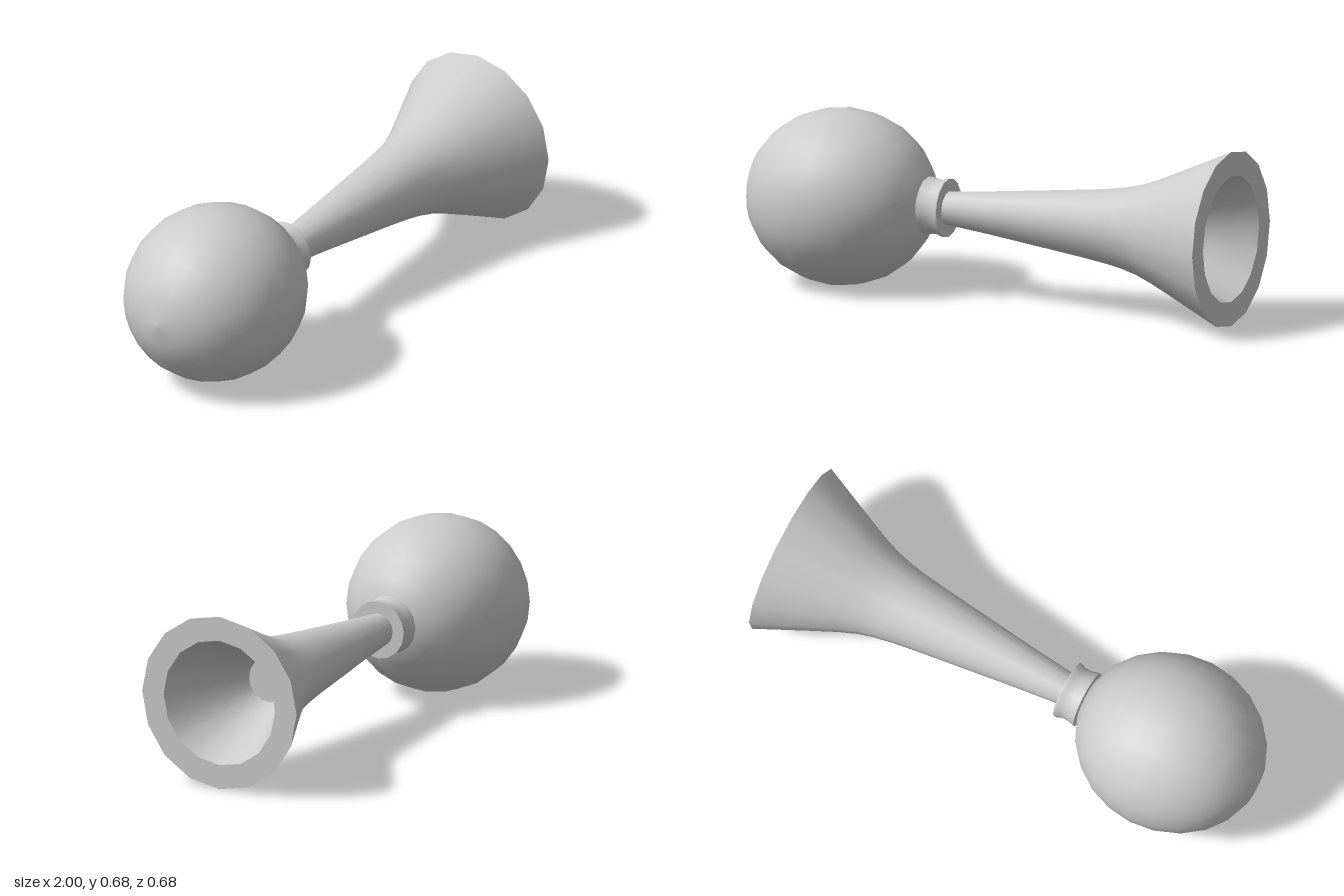
import * as THREE from 'three';
import { mergeGeometries } from 'three/addons/utils/BufferGeometryUtils.js';

const AXIS_Y = 0.339;

// Turns [x, radius] profiles around the long axis; each profile is smooth, with sharp edges between them.
function turned(name, profiles, sides) {
  const parts = profiles.map((profile) =>
    new THREE.LatheGeometry(profile.map(([x, r]) => new THREE.Vector2(r, x)), sides));
  const geometry = mergeGeometries(parts);
  geometry.rotateZ(-Math.PI / 2);
  geometry.translate(0, AXIS_Y, 0);
  const mesh = new THREE.Mesh(geometry, new THREE.MeshStandardMaterial({ color: 0xcccccc }));
  mesh.name = name;
  return mesh;
}

export function createModel() {
  const group = new THREE.Group();
  group.name = 'bulbHorn';

  // Squeeze bulb, slightly stretched along the axis
  const bulb = [];
  for (let i = 0; i <= 12; i++) {
    const a = (i / 12) * Math.PI;
    bulb.push([-0.63 - 0.37 * Math.cos(a), 0.338 * Math.sin(a)]);
  }
  group.add(turned('squeezeBulb', [bulb], 24));

  // Waisted collar between bulb and horn
  group.add(turned('collar', [
    [[-0.27, 0], [-0.27, 0.112]],
    [[-0.27, 0.112], [-0.25, 0.107], [-0.23, 0.104], [-0.208, 0.105], [-0.195, 0.112], [-0.183, 0.112]],
    [[-0.183, 0.112], [-0.183, 0]],
  ], 16));

  // Flared horn with a thick rim and a hollow mouth closed by a flat floor
  group.add(turned('horn', [
    [[-0.2, 0], [-0.2, 0.062]],
    [[-0.2, 0.062], [0, 0.083], [0.2, 0.107], [0.4, 0.131], [0.5, 0.145], [0.57, 0.158],
      [0.63, 0.174], [0.7, 0.201], [0.8, 0.246], [0.9, 0.292], [1, 0.338]],
    [[1, 0.338], [1, 0.244]],
    [[1, 0.244], [0.9, 0.2], [0.8, 0.156], [0.7, 0.114], [0.63, 0.087]],
    [[0.63, 0.087], [0.63, 0]],
  ], 16));

  return group;
}
